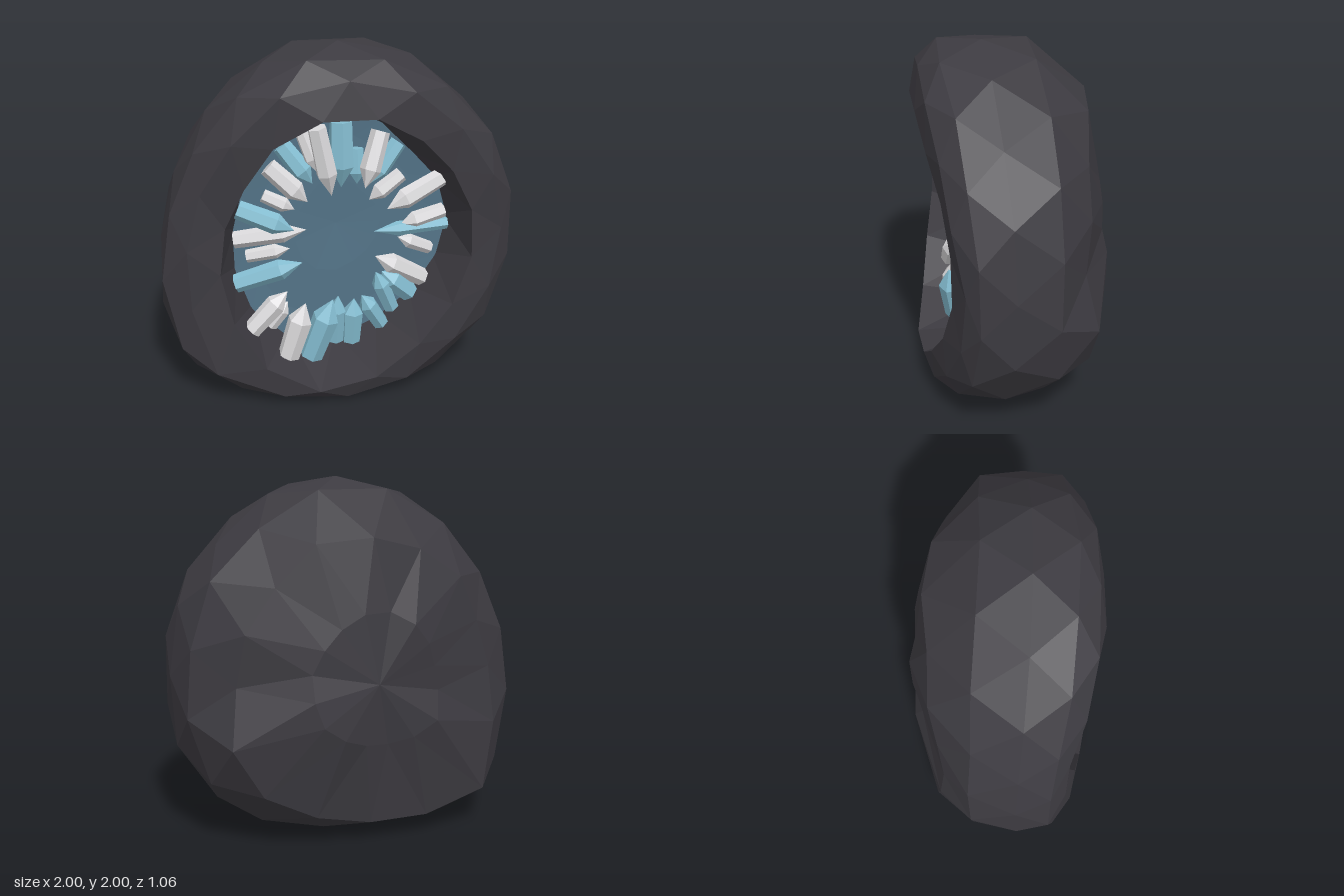
import * as THREE from 'three';

const N = 16, CY = 0.93;
// radii every 22.5 degrees, counter-clockwise from +x
const OUTER = [1.0, 1.02, 1.01, 1.06, 1.07, 1.05, 1.01, 0.97, 0.985, 1.08, 1.17, 0.99, 0.93, 0.975, 1.05, 1.05];
const MOUTH = [0.74, 0.72, 0.68, 0.74, 0.77, 0.76, 0.67, 0.66, 0.67, 0.72, 0.8, 0.86, 0.84, 0.76, 0.73, 0.73];

const flat = (name, color) => {
  const m = new THREE.MeshStandardMaterial({ color, flatShading: true });
  m.name = name;
  return m;
};

function seeded(seed) {
  return () => {
    seed = (seed * 16807) % 2147483647;
    return seed / 2147483647 - 0.5;
  };
}

// radius at a fractional index
const radius = (table, t) => {
  const i = Math.floor(t), f = t - i;
  return table[i % N] * (1 - f) + table[(i + 1) % N] * f;
};

// ring: mix from mouth (0) to outer (1), scale, z at the sides, z at top and bottom, jitter, extra scale low down
function loft(rings, startOdd = 0) {
  const rnd = seeded(77), pos = [], index = [];
  rings.forEach(({ mix, s, side, top, jitter = 0, low = 0 }, k) => {
    for (let i = 0; i < N; i++) {
      const t = i + ((k + startOdd) % 2) * 0.5;
      const a = (t / N) * Math.PI * 2, sin = Math.sin(a);
      const r = s * (1 + low * Math.max(0, -sin)) * (1 + rnd() * jitter)
        * THREE.MathUtils.lerp(radius(MOUTH, t), radius(OUTER, t), mix);
      const z = side + (top - side) * sin * sin + rnd() * jitter;
      pos.push(Math.cos(a) * r, Math.max(0, CY + sin * r), z);
    }
  });
  for (let k = 0; k < rings.length - 1; k++) {
    for (let i = 0; i < N; i++) {
      const j = (i + 1) % N, A = k * N, B = A + N;
      if ((k + startOdd) % 2 === 0) index.push(A + i, B + i, A + j, A + j, B + i, B + j);
      else index.push(A + i, B + i, B + j, A + i, B + j, A + j);
    }
  }
  const g = new THREE.BufferGeometry();
  g.setAttribute('position', new THREE.Float32BufferAttribute(pos, 3));
  g.setIndex(index);
  g.computeVertexNormals();
  return g;
}

// six-sided crystal with a pointed tip
function crystal([bx, by, bz, tx, ty, tz, w], material, name) {
  const base = new THREE.Vector3(bx, by, bz);
  const dir = new THREE.Vector3(tx, ty, tz).sub(base), L = dir.length(), r = w * 0.59;
  const profile = [[0, 0], [r * 0.9, 0], [r, L * 0.68], [0, L]].map(p => new THREE.Vector2(...p));
  const mesh = new THREE.Mesh(new THREE.LatheGeometry(profile, 6), material);
  mesh.position.copy(base);
  mesh.quaternion.setFromUnitVectors(new THREE.Vector3(0, 1, 0), dir.normalize());
  mesh.name = name;
  return mesh;
}

// base x, y, z, tip x, y, z, width
const BLUE = [
  [-0.01, 1.6, 0.29, -0.01, 1.23, 0.31, 0.12], [-0.31, 1.43, 0.14, -0.15, 1.22, 0.2, 0.1],
  [-0.57, 1.11, 0.23, -0.27, 0.99, 0.3, 0.1], [-0.59, 0.65, 0.2, -0.22, 0.78, 0.27, 0.1],
  [-0.18, 0.2, 0.29, -0.06, 0.57, 0.34, 0.13], [-0.03, 0.26, 0.24, -0.02, 0.56, 0.28, 0.09],
  [0.06, 0.26, 0.26, 0.07, 0.54, 0.29, 0.1], [0.25, 0.32, 0.2, 0.12, 0.54, 0.26, 0.09],
  [0.31, 0.42, 0.2, 0.2, 0.68, 0.26, 0.09], [0.42, 0.5, 0.19, 0.24, 0.67, 0.24, 0.11],
  [0.63, 0.92, 0.18, 0.2, 0.91, 0.21, 0.07], [0.34, 1.42, 0.17, 0.17, 1.2, 0.21, 0.09],
  [0.1, 1.4, 0.17, 0.1, 1.2, 0.2, 0.08],
];
const WHITE = [
  [-0.15, 1.59, 0.35, -0.07, 1.2, 0.35, 0.1], [-0.21, 1.52, 0.2, -0.13, 1.3, 0.24, 0.07],
  [-0.39, 1.32, 0.16, -0.18, 1.12, 0.22, 0.1], [-0.42, 1.15, 0.15, -0.25, 1.07, 0.19, 0.07],
  [-0.59, 0.9, 0.16, -0.19, 0.96, 0.23, 0.09], [-0.52, 0.79, 0.15, -0.28, 0.84, 0.2, 0.07],
  [-0.52, 0.4, 0.3, -0.31, 0.62, 0.29, 0.1], [-0.4, 0.37, 0.2, -0.3, 0.52, 0.22, 0.08],
  [-0.31, 0.21, 0.29, -0.21, 0.54, 0.3, 0.12], [0.5, 0.58, 0.17, 0.2, 0.77, 0.24, 0.1],
  [0.54, 0.76, 0.16, 0.34, 0.86, 0.2, 0.07], [0.61, 1.0, 0.18, 0.35, 0.94, 0.21, 0.08],
  [0.59, 1.2, 0.18, 0.26, 1.06, 0.26, 0.1], [0.36, 1.23, 0.17, 0.17, 1.1, 0.2, 0.08],
  [0.23, 1.5, 0.2, 0.13, 1.2, 0.28, 0.1],
];

export function createModel() {
  const group = new THREE.Group();
  group.name = 'geode';
  const rock = flat('dark rock', 0x3d3b41);
  const lining = flat('slate blue lining', 0x537387);
  const blue = flat('pale blue crystal', 0x86bfd3);
  const white = flat('white crystal', 0xdbdadc);

  // rock shell, from the cavity wall over the rim to the back
  const shell = new THREE.Mesh(loft([
    { mix: 0, s: 0.86, side: 0.07, top: 0.07 },
    { mix: 0, s: 1, side: 0.38, top: 0.53, jitter: 0.02 },
    { mix: 0.58, s: 1, side: 0.35, top: 0.49, jitter: 0.04 },
    { mix: 1, s: 0.98, side: 0.26, top: 0.38, jitter: 0.02 },
    { mix: 1, s: 1, side: 0.08, top: 0.14 },
    { mix: 1, s: 0.96, side: -0.17, top: -0.14, jitter: 0.03, low: 0.03 },
    { mix: 1, s: 0.75, side: -0.35, top: -0.4, jitter: 0.07, low: 0.16 },
    { mix: 1, s: 0.36, side: -0.49, top: -0.5, jitter: 0.07 },
    { mix: 1, s: 0, side: -0.52, top: -0.52 },
  ]), rock);
  shell.name = 'rockShell';
  group.add(shell);

  // shallow lining of the cavity
  const bowl = new THREE.Mesh(loft([
    { mix: 0, s: 0, side: 0.09, top: 0.09 },
    { mix: 0, s: 0.35, side: 0.1, top: 0.1 },
    { mix: 0, s: 0.7, side: 0.1, top: 0.1 },
    { mix: 0, s: 0.88, side: 0.11, top: 0.11 },
  ], 1), lining);
  bowl.name = 'cavityLining';
  group.add(bowl);

  // crystals pointing inwards
  const crystals = new THREE.Group();
  crystals.name = 'crystals';
  BLUE.forEach(c => crystals.add(crystal(c, blue, 'blueCrystal')));
  WHITE.forEach(c => crystals.add(crystal(c, white, 'whiteCrystal')));
  group.add(crystals);
  return group;
}
